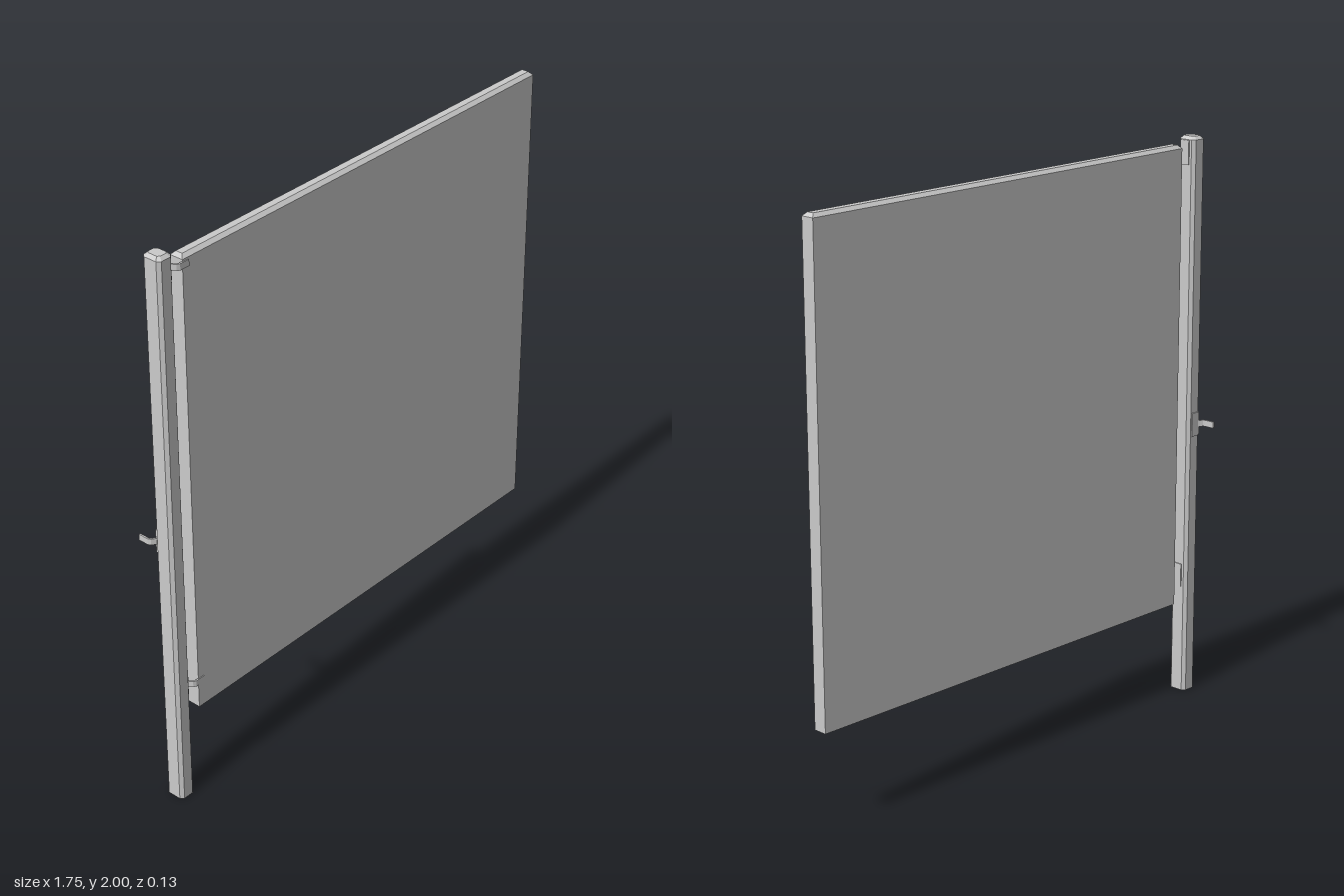
import * as THREE from 'three';

const mat = new THREE.MeshStandardMaterial({ color: 0xcccccc, flatShading: true });

function addMesh(parent, geo, name) {
  const mesh = new THREE.Mesh(geo, mat);
  mesh.name = name;
  parent.add(mesh);
  return mesh;
}

// Runs a rule over every vertex
function reshape(geo, rule) {
  const p = geo.attributes.position, v = new THREE.Vector3();
  for (let i = 0; i < p.count; i++) {
    rule(v.fromBufferAttribute(p, i));
    p.setXYZ(i, v.x, v.y, v.z);
  }
  geo.computeVertexNormals();
  return geo;
}

// Square post with chamfered edges and a chamfered top
function postGeometry(w, d, h, c, topC) {
  const x = w / 2, y = d / 2;
  const pts = [[x, y - c], [x - c, y], [c - x, y], [-x, y - c], [-x, c - y], [c - x, -y], [x - c, -y], [x, c - y]];
  const shape = new THREE.Shape(pts.map(([a, b]) => new THREE.Vector2(a, b)));
  const geo = new THREE.ExtrudeGeometry(shape, { depth: h, steps: 2, bevelEnabled: false });
  geo.rotateX(-Math.PI / 2);
  return reshape(geo, v => {
    if (v.y > h * 0.75) {
      v.x *= 1 - topC / x;
      v.z *= 1 - topC / y;
    } else if (v.y > h * 0.25) v.y = h - topC;
  });
}

// Slab whose top edges are chamfered
function panelGeometry(w, h, d, c) {
  return reshape(new THREE.BoxGeometry(w, h, d, 1, 2, 1), v => {
    if (v.y > h / 4) {
      v.x *= 1 - 2 * c / w;
      v.z *= 1 - 2 * c / d;
    } else if (v.y > -h / 4) v.y = h / 2 - c;
  });
}

// Mounting plate with a cranked arm that reaches out along +x, offset to +z
function bracket(name) {
  const g = new THREE.Group();
  g.name = name;
  const plate = addMesh(g, new THREE.BoxGeometry(0.006, 0.084, 0.036), 'bracketPlate');
  plate.position.set(0.001, 0, 0.003);
  const path = [[0, 0.014], [0.004, 0.022], [0.012, 0.034], [0.02, 0.038], [0.057, 0.038]];
  const t = 0.003;
  const side = s => path.map(([u, v], i) => {
    const a = path[Math.max(i - 1, 0)], b = path[Math.min(i + 1, path.length - 1)];
    const dx = b[0] - a[0], dy = b[1] - a[1], l = Math.hypot(dx, dy);
    return new THREE.Vector2(u - s * t * dy / l, v + s * t * dx / l);
  });
  const geo = new THREE.ExtrudeGeometry(new THREE.Shape([...side(-1), ...side(1).reverse()]),
    { depth: 0.022, bevelEnabled: false });
  geo.translate(0, 0, -0.011).rotateX(Math.PI / 2);
  addMesh(g, geo, 'bracketArm');
  return g;
}

export function createModel() {
  const model = new THREE.Group();
  model.name = 'postWithPanel';

  const px = -0.8385, pz = 0.022;
  const post = addMesh(model, postGeometry(0.06, 0.07, 2, 0.011, 0.011), 'post');
  post.position.set(px, 0, pz);

  const panel = addMesh(model, panelGeometry(1.651, 1.642, 0.049, 0.012), 'panel');
  panel.position.set(0.0485, 1.154, 0.036);

  // Two hinges carry the panel
  for (const [name, y] of [['lowerHinge', 0.435], ['upperHinge', 1.945]]) {
    const hinge = bracket(name);
    hinge.position.set(px + 0.03, y, pz);
    model.add(hinge);
  }

  // The latch hook is the same bracket, turned onto the back of the post
  const hook = bracket('latchHook');
  hook.quaternion.setFromAxisAngle(new THREE.Vector3(1, 0, -1).normalize(), Math.PI);
  hook.position.set(px, 0.99, pz - 0.035);
  model.add(hook);

  return model;
}
